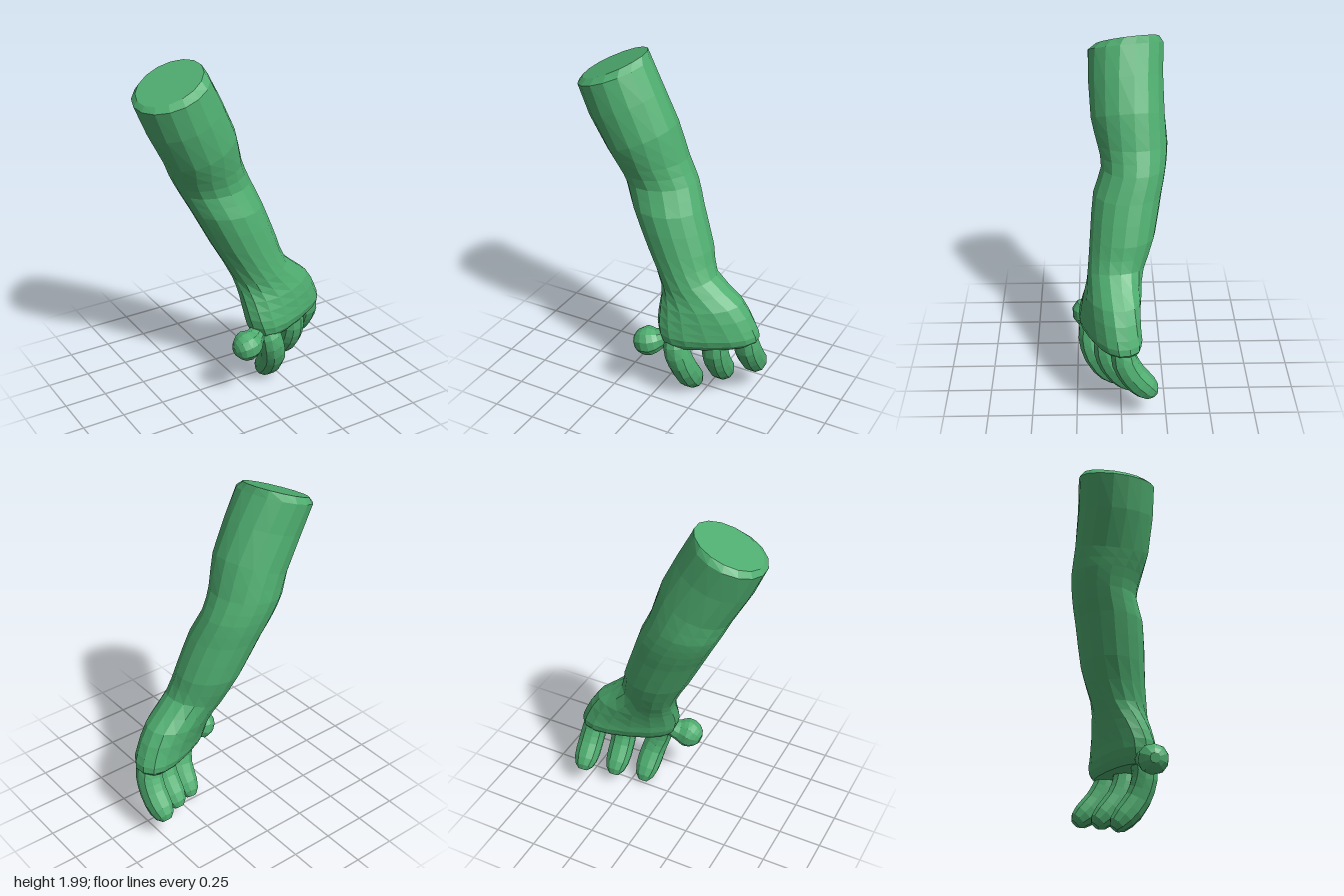
import * as THREE from 'three';

const V = (x, y, z) => new THREE.Vector3(x, y, z);

// Closed skin over a list of rings (each ring an array of points)
function loft(rings) {
  const n = rings[0].length, pos = [], idx = [];
  rings.forEach(r => r.forEach(p => pos.push(p.x, p.y, p.z)));
  for (let i = 0; i < rings.length - 1; i++) {
    for (let j = 0; j < n; j++) {
      const k = (j + 1) % n;
      const a = i * n + j, b = i * n + k, c = a + n, d = b + n;
      idx.push(a, b, c, b, d, c);
    }
  }
  const last = (rings.length - 1) * n;
  [[0, true], [last, false]].forEach(([s, flip]) => {
    const mid = V(0, 0, 0);
    rings[s / n].forEach(p => mid.addScaledVector(p, 1 / n));
    const m = pos.length / 3;
    pos.push(mid.x, mid.y, mid.z);
    for (let j = 0; j < n; j++) {
      const a = s + j, b = s + (j + 1) % n;
      idx.push(m, flip ? b : a, flip ? a : b);
    }
  });
  const g = new THREE.BufferGeometry();
  g.setAttribute('position', new THREE.Float32BufferAttribute(pos, 3));
  g.setIndex(idx);
  const flat = g.toNonIndexed();
  flat.computeVertexNormals();
  return flat;
}

// Superellipse ring around c, with half axes u and w
function ring(c, u, w, sides, power = 2) {
  const e = 2 / power;
  return Array.from({ length: sides }, (_, j) => {
    const a = (j / sides) * Math.PI * 2, x = Math.cos(a), y = Math.sin(a);
    return c.clone()
      .addScaledVector(u, Math.sign(x) * Math.abs(x) ** e)
      .addScaledVector(w, Math.sign(y) * Math.abs(y) ** e);
  });
}

// Cross-sections: right edge xyz, left edge xyz, half depth, squareness
const SECTIONS = [
  [-0.55, 1.84, 0.00, -0.20, 2.00, -0.10, 0.18, 2],
  [-0.57, 1.81, 0.01, -0.18, 1.96, -0.09, 0.215, 2],
  [-0.40, 1.45, -0.02, -0.01, 1.62, -0.08, 0.21, 2],
  [-0.36, 1.36, -0.06, 0.05, 1.42, -0.09, 0.198, 2],
  [-0.31, 1.26, -0.07, 0.11, 1.29, -0.09, 0.183, 2],
  [-0.25, 1.14, -0.04, 0.165, 1.15, -0.05, 0.193, 2],
  [-0.14, 0.92, -0.01, 0.245, 0.93, -0.02, 0.183, 2],
  [-0.025, 0.70, 0.05, 0.29, 0.79, 0.00, 0.16, 2],
  [-0.01, 0.60, 0.11, 0.45, 0.65, -0.02, 0.15, 2.1],
  [0.00, 0.49, 0.16, 0.53, 0.51, -0.04, 0.14, 2.3],
  [0.03, 0.40, 0.17, 0.55, 0.43, -0.05, 0.125, 2.5],
  [0.06, 0.36, 0.16, 0.52, 0.395, -0.04, 0.095, 2.5],
];

function armGeometry() {
  const curve = f => new THREE.CatmullRomCurve3(SECTIONS.map(f));
  const right = curve(s => V(s[0], s[1], s[2]));
  const left = curve(s => V(s[3], s[4], s[5]));
  const shape = curve(s => V(s[6], s[7], 0));
  const steps = (SECTIONS.length - 1) * 2, rings = [];
  for (let i = 0; i <= steps; i++) {
    if (i === 1) continue; // keep the bevel at the cut end crisp
    const t = i / steps, a = right.getPoint(t), b = left.getPoint(t), s = shape.getPoint(t);
    const u = b.clone().sub(a).multiplyScalar(0.5);
    const w = V(-u.z, 0, u.x).normalize().multiplyScalar(s.x);
    rings.push(ring(a.add(b).multiplyScalar(0.5), u, w, 16, s.y));
  }
  return loft(rings);
}

// Tapered digit along a curve; profile lists [position along curve, radius]
function digitGeometry(points, profile, ref) {
  const path = new THREE.CatmullRomCurve3(points.map(p => V(...p)));
  return loft(profile.map(([t, r]) => {
    const d = path.getTangent(t);
    const w = d.clone().cross(ref).normalize();
    const u = w.clone().cross(d);
    return ring(path.getPoint(t), u.multiplyScalar(r), w.multiplyScalar(r), 10, 2.2);
  }));
}

const FINGER_PROFILE = [
  [0, 0.05], [0.15, 0.063], [0.3, 0.071], [0.42, 0.074], [0.54, 0.075],
  [0.66, 0.075], [0.78, 0.075], [0.87, 0.07], [0.95, 0.055], [1, 0.028],
];
const THUMB_PROFILE = [
  [0, 0.045], [0.2, 0.05], [0.35, 0.06], [0.48, 0.075], [0.6, 0.084],
  [0.72, 0.084], [0.84, 0.074], [0.93, 0.055], [1, 0.028],
];

export function createModel() {
  const group = new THREE.Group();
  const green = new THREE.MeshStandardMaterial({ color: 0x4fae70, flatShading: true });
  green.name = 'green skin';
  const add = (name, geometry) => {
    const m = new THREE.Mesh(geometry, green);
    m.name = name;
    group.add(m);
  };

  add('armAndPalm', armGeometry());

  // Three fingers curling towards the palm
  const fingers = {
    indexFinger: [[0.10, 0.46, 0.12], [0.125, 0.34, 0.17], [0.165, 0.19, 0.135], [0.175, 0.025, 0.005]],
    middleFinger: [[0.32, 0.47, 0.06], [0.33, 0.37, 0.085], [0.335, 0.24, 0.045], [0.33, 0.085, -0.085]],
    littleFinger: [[0.46, 0.50, -0.03], [0.485, 0.39, -0.01], [0.495, 0.27, -0.065], [0.49, 0.14, -0.185]],
  };
  for (const [name, pts] of Object.entries(fingers)) {
    add(name, digitGeometry(pts, FINGER_PROFILE, V(1, 0, 0)));
  }

  // Short round thumb
  add('thumb', digitGeometry(
    [[0.09, 0.42, 0.13], [0.02, 0.375, 0.17], [-0.045, 0.355, 0.195], [-0.125, 0.335, 0.195]],
    THUMB_PROFILE, V(0, 1, 0)));

  return group;
}
